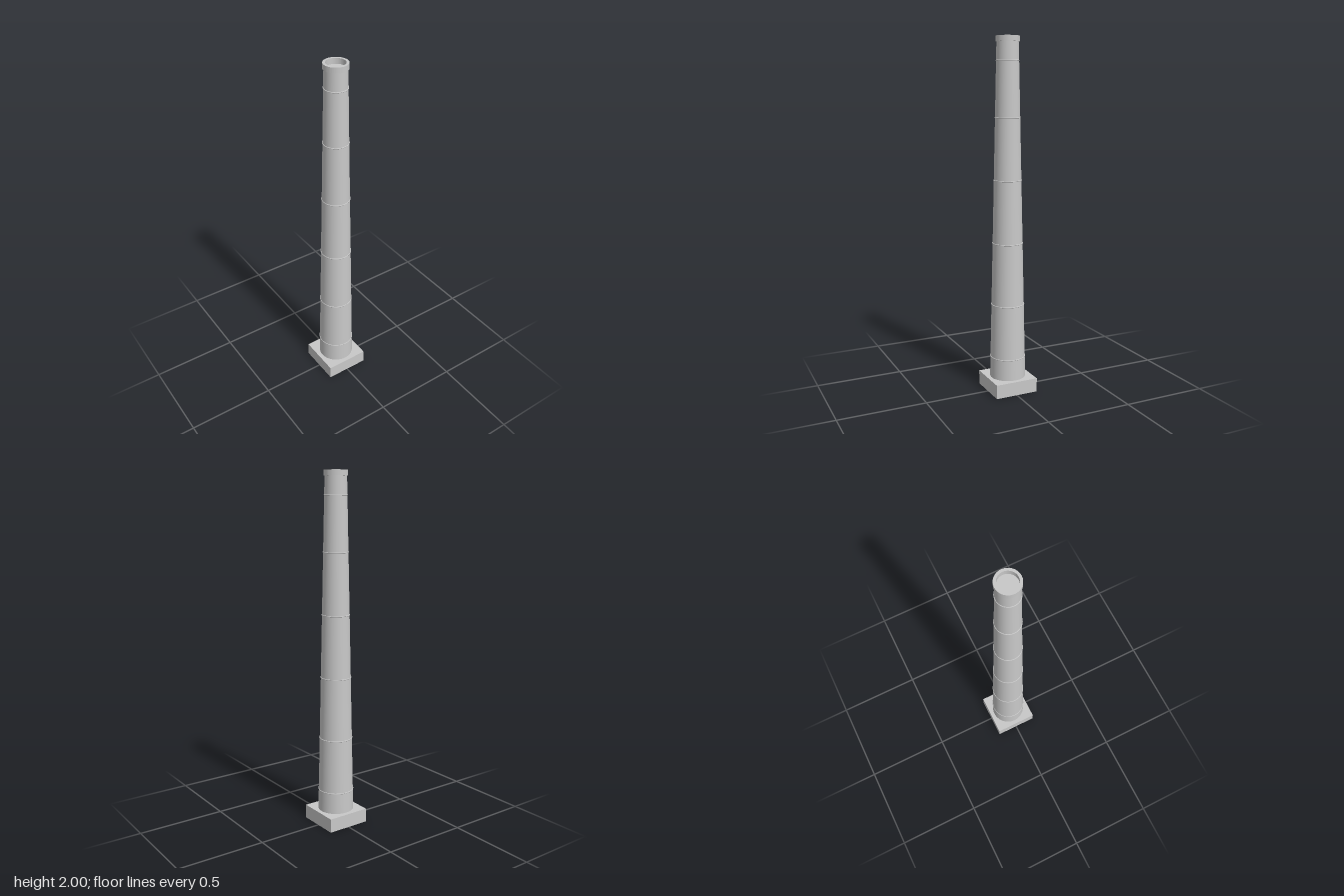
import * as THREE from 'three';

export function createModel() {
  const model = new THREE.Group();
  const concrete = new THREE.MeshStandardMaterial({ color: 0xc8c8c8 });
  concrete.name = 'concrete grey';

  const baseTop = 0.08, shaftTop = 1.97;
  const bottomRadius = 0.102, topRadius = 0.0605;

  function add(name, geometry, y) {
    const mesh = new THREE.Mesh(geometry, concrete);
    mesh.name = name;
    mesh.position.y = y;
    model.add(mesh);
    return mesh;
  }

  // Square plinth
  add('plinth', new THREE.BoxGeometry(0.252, baseTop, 0.252), baseTop / 2);

  // Tapered chimney shaft; its closed top is the floor of the mouth
  add('shaft', new THREE.CylinderGeometry(topRadius, bottomRadius, shaftTop - baseTop, 64),
    (shaftTop + baseTop) / 2);

  // Thin rings around the shaft
  for (const y of [0.2, 0.51, 0.865, 1.22, 1.565, 1.87]) {
    const t = (y - baseTop) / (shaftTop - baseTop);
    const radius = THREE.MathUtils.lerp(bottomRadius, topRadius, t);
    add('band', new THREE.TorusGeometry(radius, 0.003, 8, 64), y).rotation.x = Math.PI / 2;
  }

  // Hollow rim with sharp edges
  const outline = new THREE.Shape().absarc(0, 0, 0.066, 0, Math.PI * 2);
  outline.holes.push(new THREE.Path().absarc(0, 0, 0.052, 0, Math.PI * 2, true));
  const rim = new THREE.ExtrudeGeometry(outline, {
    depth: 2 - shaftTop, bevelEnabled: false, curveSegments: 64,
  });
  add('rim', rim, 2).rotation.x = Math.PI / 2;

  return model;
}
